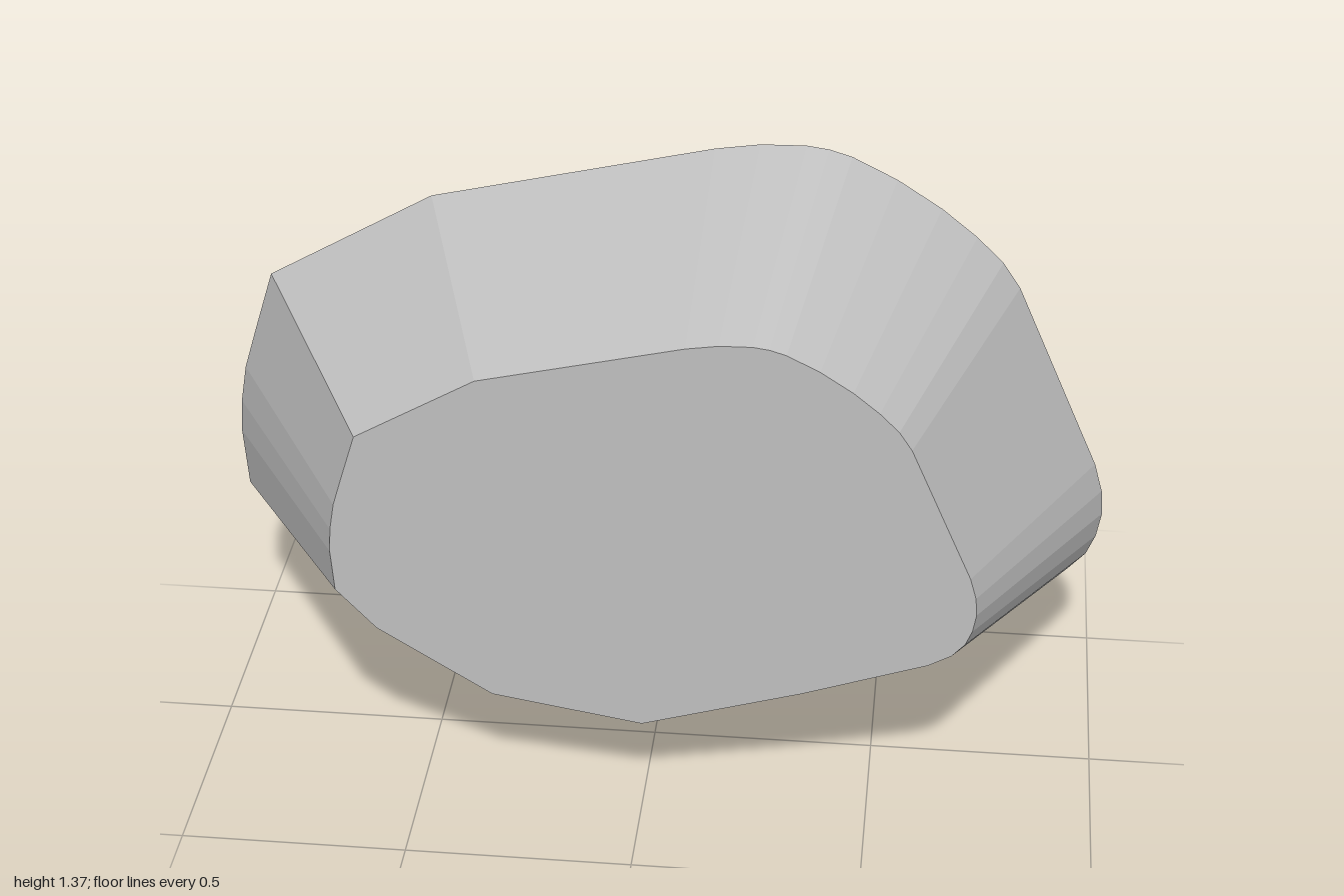
import * as THREE from 'three';

// Outline of the large back face, counterclockwise from the lowest corner
const OUTLINE = [
  [-0.03, 0], [0.47, 0.15], [0.86, 0.285], [0.93, 0.325], [0.97, 0.37], [0.99, 0.42],
  [1, 0.48], [0.995, 0.54], [0.975, 0.61], [0.935, 0.7], [0.78, 1.05], [0.74, 1.11],
  [0.68, 1.17], [0.6, 1.235], [0.5, 1.3], [0.4, 1.35], [0.35, 1.365], [0.3, 1.372],
  [0.2, 1.37], [0.1, 1.355], [-0.53, 1.21], [-0.905, 0.995], [-0.95, 0.85],
  [-0.98, 0.75], [-0.995, 0.66], [-1, 0.58], [-0.99, 0.44], [-0.865, 0.305], [-0.505, 0.08],
];
const DEPTH = 0.59;
const TAPER = 0.6975;

export function createModel() {
  const stone = new THREE.MeshStandardMaterial({ color: 0xc0c0c0 });

  // Straight block, centred in depth
  const shape = new THREE.Shape(OUTLINE.map(([x, y]) => new THREE.Vector2(x, y)));
  const geometry = new THREE.ExtrudeGeometry(shape, { depth: DEPTH, bevelEnabled: false });
  geometry.translate(0, 0, -DEPTH / 2);

  // Shrink the front face so the sides taper towards it
  const p = geometry.attributes.position;
  for (let i = 0; i < p.count; i++) {
    if (p.getZ(i) > 0) p.setXY(i, p.getX(i) * TAPER + 0.0225, p.getY(i) * TAPER + 0.233);
  }
  geometry.computeVertexNormals();

  const rock = new THREE.Mesh(geometry, stone);
  rock.name = 'taperedRock';
  const group = new THREE.Group();
  group.name = 'rock';
  group.add(rock);
  return group;
}
